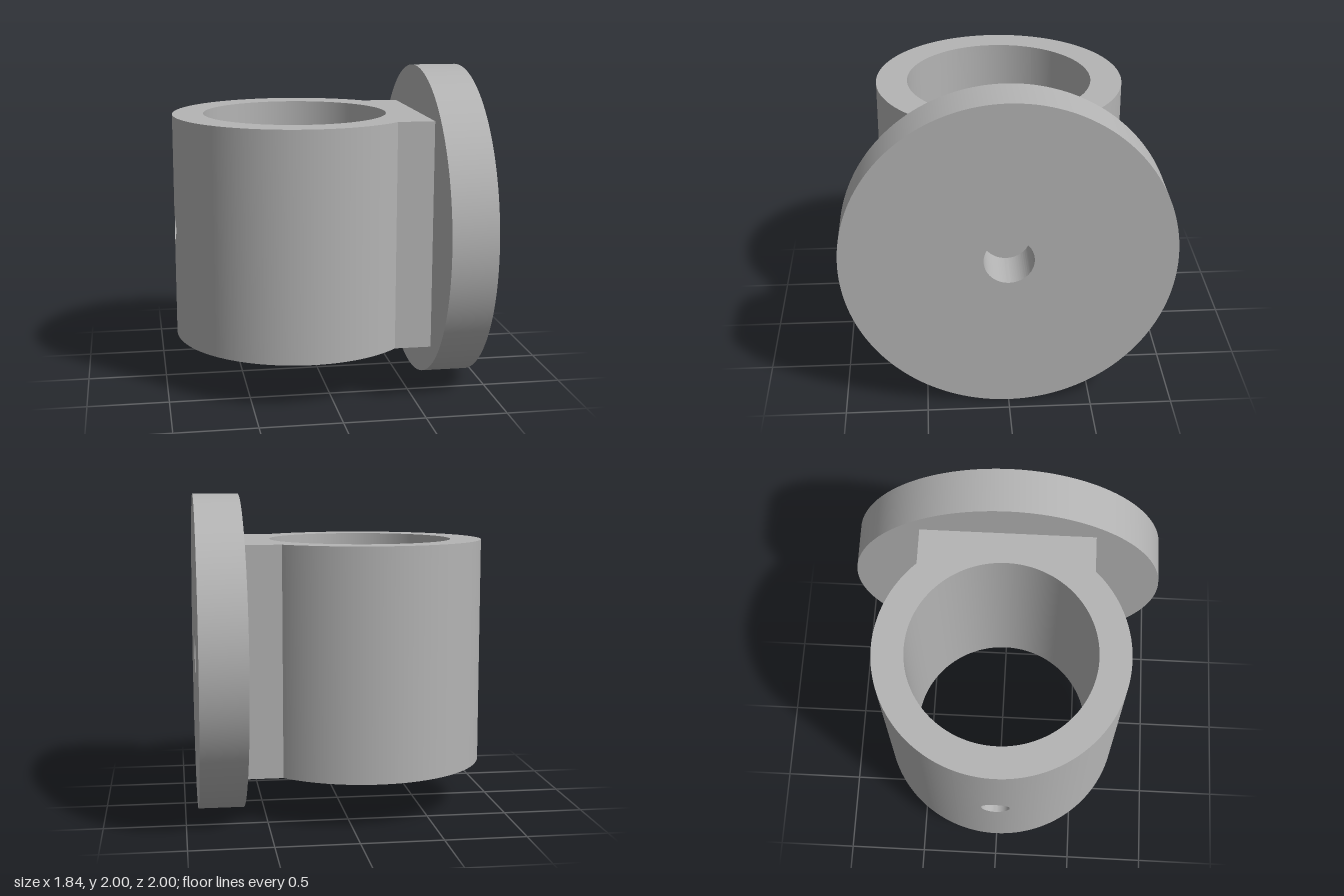
import * as THREE from 'three';
import { toCreasedNormals } from 'three/addons/utils/BufferGeometryUtils.js';

const CX = -0.145, R = 0.775, BORE = 0.58, HALF_H = 0.712; // sleeve
const SLOT = 0.25, PIN = 0.09;                             // drilled wall segment
const FACE_X = 0.635, PAD = 0.545;                         // mounting pad

// Sleeve and pad profile, open where the drilled wall segment fits in
function sleeveGeometry() {
  const a = Math.asin(PAD / R), b = Math.PI - Math.asin(SLOT / R), c = Math.PI - Math.asin(SLOT / BORE);
  const s = new THREE.Shape();
  s.moveTo(FACE_X, -PAD);
  s.lineTo(FACE_X, PAD);
  s.absarc(CX, 0, R, a, b, false);
  s.absarc(CX, 0, BORE, c, -c, true);
  s.absarc(CX, 0, R, -b, -a, false);
  s.closePath();
  const g = new THREE.ExtrudeGeometry(s, { depth: 2 * HALF_H, bevelEnabled: false, curveSegments: 80 });
  g.rotateX(-Math.PI / 2).translate(0, 1 - HALF_H, 0);
  return toCreasedNormals(g, 0.4);
}

// Curved wall segment with a round cross hole: a closed section swept around the hole
function drilledWallGeometry() {
  const perSide = 16, steps = 8, n = perSide * 4, m = (steps + 1) * 2;
  const corners = [[1, 1], [-1, 1], [-1, -1], [1, -1]];
  const pos = [], idx = [];
  for (let i = 0; i < n; i++) {
    const side = Math.floor(i / perSide), u = (i % perSide) / perSide;
    const p = corners[side], q = corners[(side + 1) % 4];
    const ez = (p[0] + (q[0] - p[0]) * u) * SLOT, ey = (p[1] + (q[1] - p[1]) * u) * HALF_H;
    const ang = (side + u + 0.5) * Math.PI / 2;
    const hz = Math.cos(ang) * PIN, hy = Math.sin(ang) * PIN;
    for (let j = 0; j < m; j++) {
      const outer = j <= steps, t = (outer ? j : m - 1 - j) / steps;
      const z = hz + (ez - hz) * t, y = hy + (ey - hy) * t, r = outer ? R : BORE;
      pos.push(CX - Math.sqrt(r * r - z * z), 1 + y, z);
      const i2 = (i + 1) % n, j2 = (j + 1) % m;
      const A = i * m + j, B = i * m + j2, C = i2 * m + j2, D = i2 * m + j;
      idx.push(A, B, C, A, C, D);
    }
  }
  const g = new THREE.BufferGeometry();
  g.setAttribute('position', new THREE.Float32BufferAttribute(pos, 3));
  g.setIndex(idx);
  return toCreasedNormals(g, 0.5);
}

// Round flange with a central hole, closed behind by the pad
function flangeGeometry() {
  const s = new THREE.Shape().absarc(0, 0, 1, 0, Math.PI * 2, false);
  s.holes.push(new THREE.Path().absarc(0, 0, 0.15, 0, Math.PI * 2, true));
  const g = new THREE.ExtrudeGeometry(s, { depth: 0.285, bevelEnabled: false, curveSegments: 96 });
  g.rotateY(Math.PI / 2).translate(FACE_X, 1, 0);
  return toCreasedNormals(g, 0.4);
}

export function createModel() {
  const group = new THREE.Group();
  const metal = new THREE.MeshStandardMaterial({ color: 0xb4b4b4 });
  metal.name = 'grey metal';
  const add = (name, geometry) => {
    const mesh = new THREE.Mesh(geometry, metal);
    mesh.name = name;
    group.add(mesh);
  };
  add('sleeveAndPad', sleeveGeometry());
  add('drilledWall', drilledWallGeometry());
  add('flange', flangeGeometry());
  return group;
}
